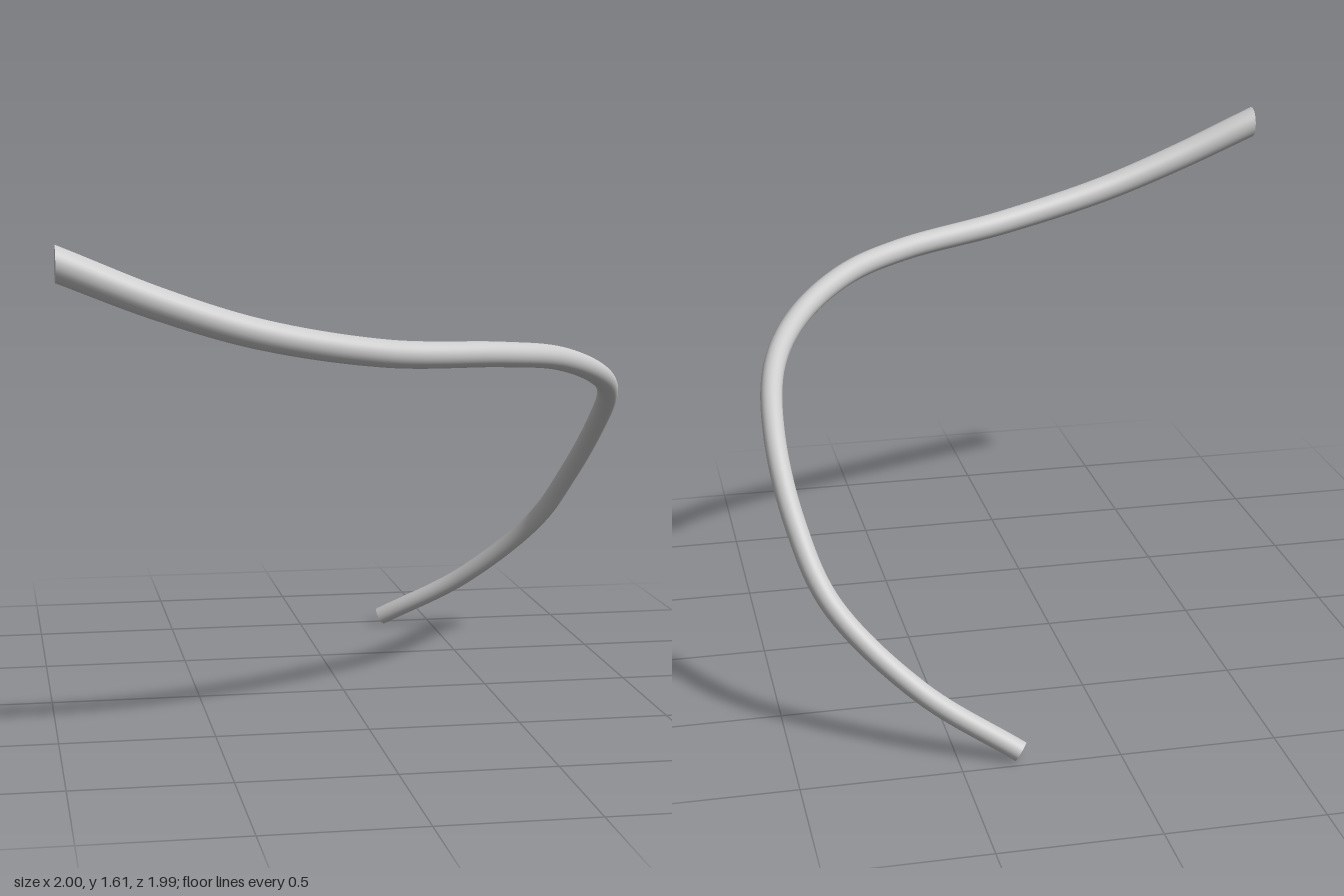
import * as THREE from 'three';

// Centre line of the rod, from the thick end to the thin end
const path = new THREE.CatmullRomCurve3([
  [-1, 1.557, 0.94], [-0.7, 1.435, 0.925], [-0.4, 1.338, 0.885], [0, 1.262, 0.78],
  [0.4, 1.232, 0.6], [0.62, 1.2, 0.445], [0.81, 1.125, 0.24], [0.925, 1.03, 0],
  [0.96, 0.885, -0.25], [0.93, 0.665, -0.5], [0.845, 0.455, -0.67],
  [0.6, 0.21, -0.835], [0.31, 0.036, -0.967],
].map((p) => new THREE.Vector3(...p)));

const SEGMENTS = 120, SIDES = 32;
const radiusAt = (t) => 0.033 + 0.0185 * (1 - t) ** 2;

// Flat disc closing one ring of the tube
function capGeometry(tube, ring, centre, flip) {
  const pos = tube.attributes.position;
  const pts = [centre.x, centre.y, centre.z];
  const index = [];
  for (let j = 0; j <= SIDES; j++) {
    const k = ring * (SIDES + 1) + j;
    pts.push(pos.getX(k), pos.getY(k), pos.getZ(k));
    if (j < SIDES) index.push(0, flip ? j + 2 : j + 1, flip ? j + 1 : j + 2);
  }
  const geo = new THREE.BufferGeometry();
  geo.setAttribute('position', new THREE.Float32BufferAttribute(pts, 3));
  geo.setIndex(index);
  geo.computeVertexNormals();
  return geo;
}

export function createModel() {
  const group = new THREE.Group();
  group.name = 'curvedRod';
  const material = new THREE.MeshStandardMaterial({ color: 0xcccccc, side: THREE.DoubleSide });

  // Unit tube whose rings are scaled to the taper
  const tube = new THREE.TubeGeometry(path, SEGMENTS, 1, SIDES, false);
  const pos = tube.attributes.position;
  const normal = tube.attributes.normal;
  const v = new THREE.Vector3(), n = new THREE.Vector3();
  const startTangent = path.getTangentAt(0);
  for (let i = 0; i <= SEGMENTS; i++) {
    const t = i / SEGMENTS;
    const centre = path.getPointAt(t);
    for (let j = 0; j <= SIDES; j++) {
      const k = i * (SIDES + 1) + j;
      n.fromBufferAttribute(normal, k);
      v.copy(centre).addScaledVector(n, radiusAt(t));
      // The thick end is cut square to the x axis
      if (i === 0) v.addScaledVector(startTangent, (-1 - v.x) / startTangent.x);
      pos.setXYZ(k, v.x, v.y, v.z);
    }
  }

  const add = (name, geometry) => {
    const mesh = new THREE.Mesh(geometry, material);
    mesh.name = name;
    group.add(mesh);
  };
  add('rod', tube);
  add('thickEndCap', capGeometry(tube, 0, path.getPointAt(0), false));
  add('thinEndCap', capGeometry(tube, SEGMENTS, path.getPointAt(1), true));
  return group;
}
